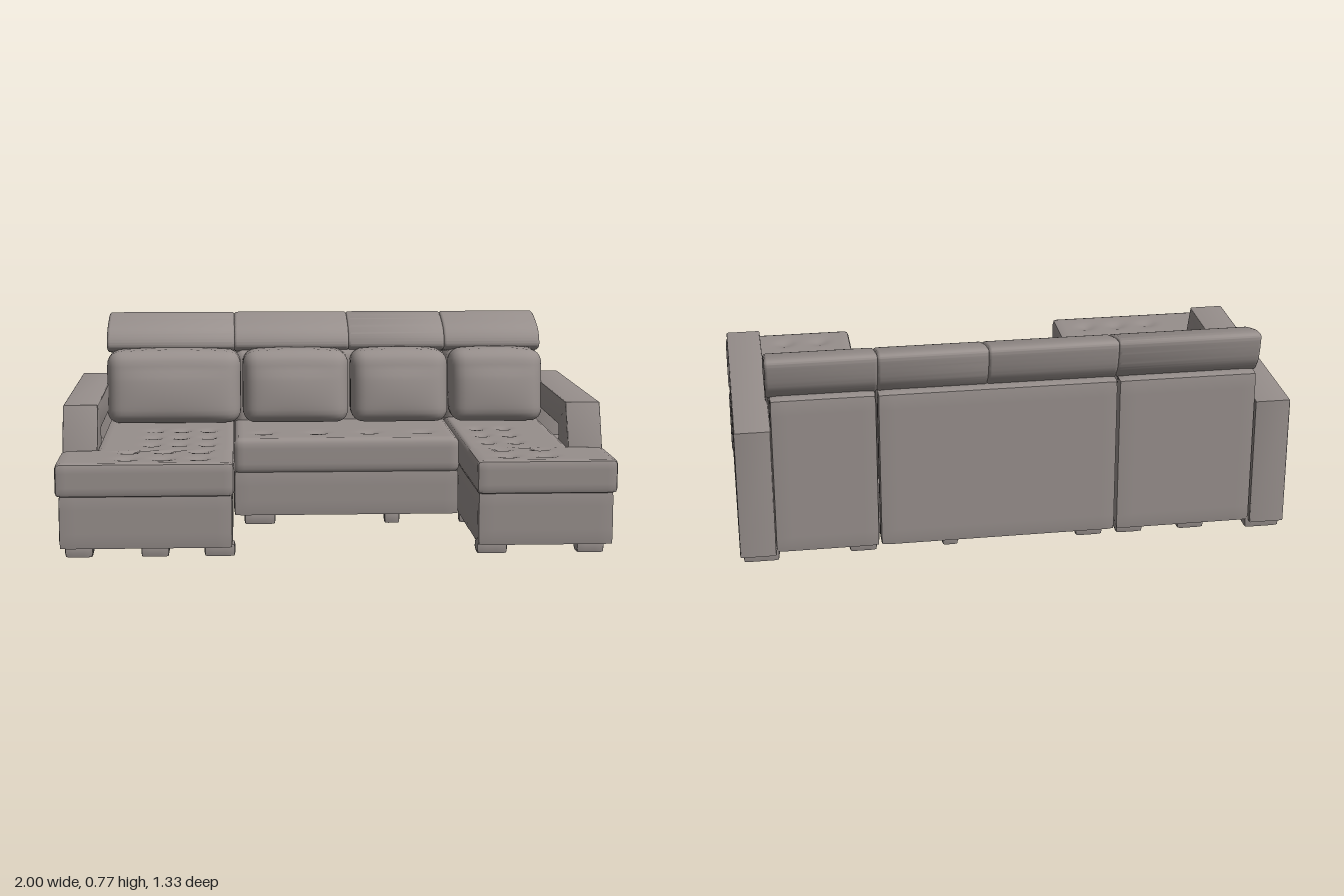
import * as THREE from 'three';
import { mergeVertices, toCreasedNormals } from 'three/addons/utils/BufferGeometryUtils.js';

const fabric = new THREE.MeshStandardMaterial({ color: 0x978f8c });
fabric.name = 'taupe fabric';

const gauss = (d, s) => Math.exp(-(d * d) / (s * s));

export function createModel() {
  const sofa = new THREE.Group();
  sofa.name = 'sectionalSofa';

  const add = (name, geo) => {
    const mesh = new THREE.Mesh(geo, fabric);
    mesh.name = name;
    sofa.add(mesh);
    return mesh;
  };

  // Finely divided box with rounded edges; warp(p) then shapes each vertex
  const softBox = (name, [x0, x1], [y0, y1], [z0, z1], r, warp, cell = 0.02) => {
    const size = [x1 - x0, y1 - y0, z1 - z0];
    const seg = size.map((s) => Math.max(2, Math.ceil(s / cell)));
    let geo = new THREE.BoxGeometry(...size, ...seg);
    geo.deleteAttribute('uv');
    geo.deleteAttribute('normal');
    geo = mergeVertices(geo, 1e-5);
    const half = new THREE.Vector3(...size).multiplyScalar(0.5);
    const lim = half.clone().subScalar(r);
    const mid = new THREE.Vector3((x0 + x1) / 2, (y0 + y1) / 2, (z0 + z1) / 2);
    const pos = geo.attributes.position;
    const p = new THREE.Vector3();
    for (let i = 0; i < pos.count; i++) {
      p.fromBufferAttribute(pos, i);
      const inner = p.clone().clamp(lim.clone().negate(), lim);
      p.sub(inner).normalize().multiplyScalar(r).add(inner).add(mid);
      if (warp) warp(p);
      pos.setXYZ(i, p.x, p.y, p.z);
    }
    geo.computeVertexNormals();
    return add(name, toCreasedNormals(geo, 0.9));
  };

  // Extrude a (z, y) outline along x, from x0 to x1
  const extrudeX = (name, shape, x0, x1, bevel, crease) => {
    let geo = new THREE.ExtrudeGeometry(shape, {
      depth: x1 - x0 - 2 * bevel, bevelEnabled: true, bevelThickness: bevel,
      bevelSize: bevel, bevelOffset: -bevel, bevelSegments: 3, curveSegments: 10,
    });
    geo.rotateY(-Math.PI / 2);
    geo.translate(x1 - bevel, 0, 0);
    geo.deleteAttribute('uv');
    geo.deleteAttribute('normal');
    geo = toCreasedNormals(mergeVertices(geo, 1e-5), crease);
    return add(name, geo);
  };

  const tuft = (points) => (p) => {
    if (p.y < 0.33) return;
    for (const [x, z] of points) p.y -= 0.012 * gauss(Math.hypot(p.x - x, p.z - z), 0.03);
  };
  const grid = (xs, zs) => xs.flatMap((x) => zs.map((z) => [x, z]));

  // Chaises: wide in front of the arm, narrower beside it
  const chaise = (name, side, inner, tufts) => {
    const span = (a, b) => (side > 0 ? [a, b] : [-b, -a]);
    const notch = (p) => {
      if (p.z < 0.375) p.x = side * (inner + (side * p.x - inner) * (0.87 - inner) / (1 - inner));
    };
    softBox(name + 'Cushion', span(inner, 1), [0.235, 0.357], [-0.5, 0.665], 0.016, (p) => {
      tuft(tufts)(p);
      notch(p);
    });
    softBox(name + 'Base', span(inner + 0.006, 0.99), [0.045, 0.245], [-0.6, 0.648], 0.012, notch, 0.03);
  };
  const rows = [-0.1, 0.07, 0.24, 0.4, 0.55];
  chaise('rightChaise', -1, 0.367, grid([-0.75, -0.62, -0.49], rows));
  chaise('leftChaise', 1, 0.495, grid([0.62, 0.76], rows));

  // Middle seat
  softBox('middleSeatCushion', [-0.37, 0.497], [0.215, 0.352], [-0.5, 0.097], 0.025,
    tuft(grid([-0.25, -0.04, 0.16, 0.37], [-0.06])));
  softBox('middleSeatBase', [-0.37, 0.497], [0.05, 0.225], [-0.6, 0.09], 0.012, null, 0.03);

  // Arms with an open window, a front post cover and a rear foot block
  for (const side of [-1, 1]) {
    const label = side > 0 ? 'left' : 'right';
    const outline = new THREE.Shape([
      [0.368, 0.03], [0.368, 0.35], [0.3, 0.515], [-0.665, 0.515], [-0.665, 0.03],
    ].map(([z, y]) => new THREE.Vector2(z, y)).reverse());
    outline.holes.push(new THREE.Path([
      [0.135, 0.26], [0.15, 0.4], [0.145, 0.408], [-0.535, 0.408], [-0.535, 0.26],
    ].map(([z, y]) => new THREE.Vector2(z, y))));
    const x = side > 0 ? [0.868, 0.996] : [-0.996, -0.868];
    extrudeX(label + 'Arm', outline, x[0], x[1], 0.005, 0.5);
    softBox(label + 'ArmPost', side > 0 ? [0.864, 1] : [-1, -0.864], [0.015, 0.243], [0.25, 0.375], 0.012);
  }

  // Back panels and padded core, split at the seat seams
  const seams = [[-0.868, -0.367], [-0.363, 0.492], [0.496, 0.868]];
  for (const [a, b] of seams) {
    softBox('backPanel', [a, b], [0.035, 0.625], [-0.657, -0.595], 0.012, null, 0.03);
    softBox('backCore', [a, b], [0.25, 0.635], [-0.602, -0.4], 0.03, null, 0.03);
  }

  // Loose back cushions: leaning, puffed, with a stitched crease
  for (const [a, b] of [[-0.875, -0.34], [-0.333, 0.092], [0.1, 0.492], [0.5, 0.875]]) {
    const cx = (a + b) / 2, hw = (b - a) / 2;
    softBox('backCushion', [a, b], [0.36, 0.64], [-0.43, -0.255], 0.05, (p) => {
      const u = (p.x - cx) / hw, v = (p.y - 0.5) / 0.14;
      const puff = Math.max(0, 1 - u * u) * Math.max(0, 1 - v * v);
      if (p.z > -0.34) {
        p.z += 0.025 * puff - 0.02 * u ** 6;
        p.z -= 0.007 * gauss(p.y - 0.575, 0.018) * (1 - u * u);
      }
      if (v > 0) p.y += 0.01 * (1 - u * u) * v;
      p.z += (0.5 - p.y) * 0.16;
    });
  }

  // Headrests: curved wedge rolls along the top
  const roll = new THREE.Shape();
  roll.moveTo(-0.6, 0.615);
  roll.splineThru([
    [-0.5, 0.62], [-0.42, 0.638], [-0.412, 0.675], [-0.455, 0.722], [-0.55, 0.755],
    [-0.62, 0.771], [-0.65, 0.766], [-0.652, 0.735], [-0.635, 0.665], [-0.6, 0.615],
  ].map(([z, y]) => new THREE.Vector2(z, y)));
  for (const [a, b] of [[-0.88, -0.364], [-0.366, 0.1], [0.098, 0.49], [0.488, 0.88]]) {
    extrudeX('headrest', roll, a, b, 0.012, 1.0);
  }

  // Feet: x, z, width, depth
  const feet = [
    [-0.92, -0.58, 0.13, 0.14], [0.92, -0.58, 0.13, 0.14],
    [-0.65, 0.59, 0.1, 0.08], [-0.42, 0.59, 0.11, 0.08], [-0.92, 0.59, 0.1, 0.08],
    [0.555, 0.59, 0.11, 0.08], [0.91, 0.59, 0.1, 0.08],
    [-0.27, 0.04, 0.12, 0.06], [0.24, 0.04, 0.06, 0.06], [0.54, 0.04, 0.08, 0.06],
    [-0.65, -0.61, 0.1, 0.07], [-0.42, -0.61, 0.1, 0.07], [-0.27, -0.61, 0.1, 0.07],
    [0.24, -0.61, 0.06, 0.07], [0.555, -0.61, 0.1, 0.07],
  ];
  for (const [x, z, w, d] of feet) {
    const low = Math.abs(x) > 0.9 && z < 0 ? 0 : 0.012;
    softBox('foot', [x - w / 2, x + w / 2], [low, 0.06], [z - d / 2, z + d / 2], 0.01);
  }

  return sofa;
}
